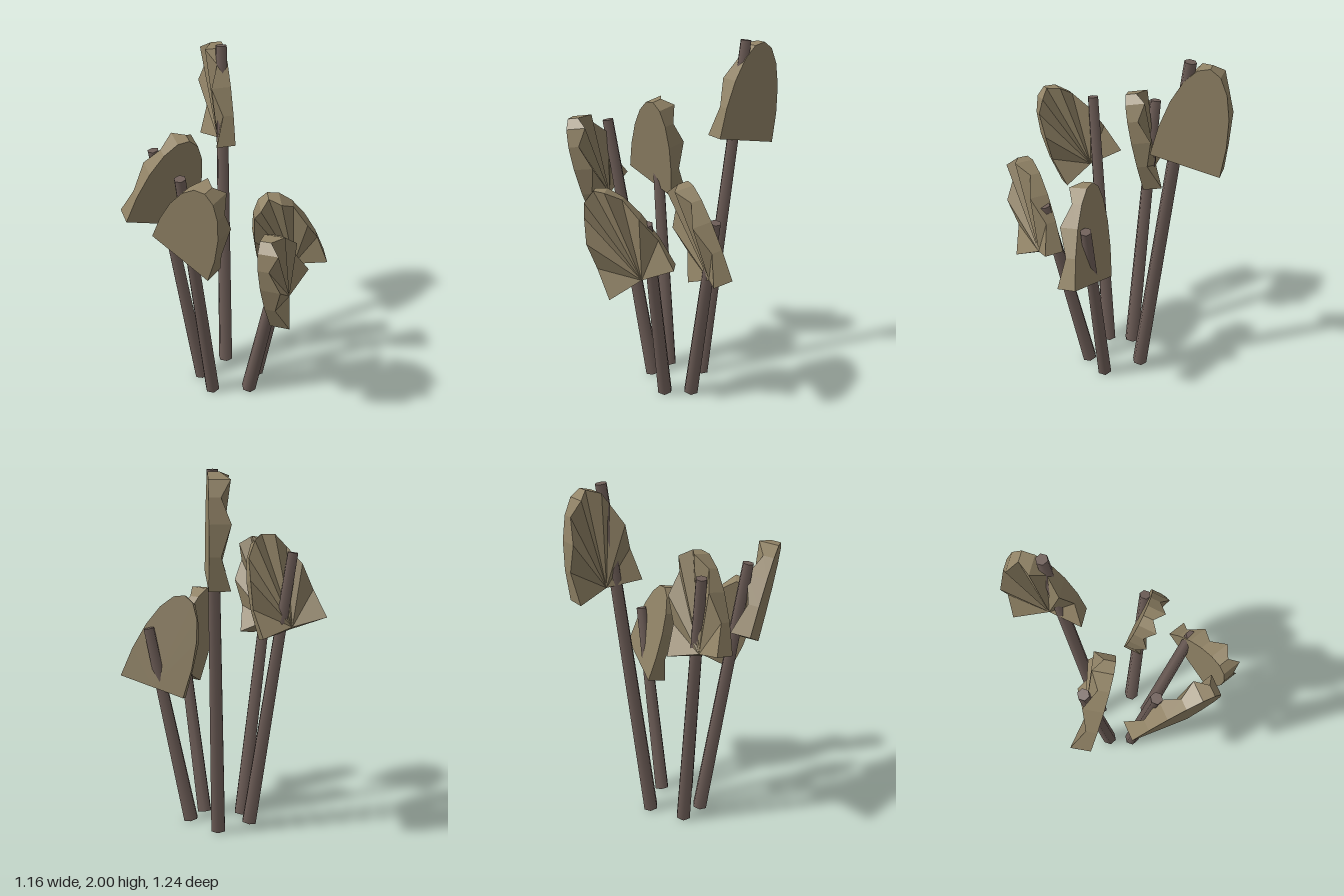
import * as THREE from 'three';

const SEGMENTS = 10;
const deg = THREE.MathUtils.degToRad;

// Fan-shaped cap: flat half-ellipse facing +z, pleats radiating from a hub on the back
function capGeometry() {
  const front = [], back = [];
  for (let i = 0; i <= SEGMENTS; i++) {
    const t = (Math.PI * i) / SEGMENTS;
    const x = -0.19 * Math.cos(t), y = 0.55 * Math.sin(t);
    front.push([x, y, 0]);
    back.push([x, y, i % 2 ? -0.06 : -0.11]);
  }
  const centre = [0, 0, 0], hub = [0, 0.01, -0.055];
  const pos = [];
  const tri = (...corners) => corners.forEach((c) => pos.push(...c));
  for (let i = 0; i < SEGMENTS; i++) {
    tri(centre, front[i + 1], front[i]);
    tri(front[i], front[i + 1], back[i + 1]);
    tri(front[i], back[i + 1], back[i]);
    tri(hub, back[i], back[i + 1]);
  }
  // underside
  tri(centre, front[0], back[0]);
  tri(centre, back[0], hub);
  tri(centre, hub, back[SEGMENTS]);
  tri(centre, back[SEGMENTS], front[SEGMENTS]);
  const geo = new THREE.BufferGeometry();
  geo.setAttribute('position', new THREE.Float32BufferAttribute(pos, 3));
  geo.computeVertexNormals();
  return geo;
}

// Tapered stem between two points
function stem(bottom, top, material) {
  const a = new THREE.Vector3(...bottom), b = new THREE.Vector3(...top);
  const dir = b.clone().sub(a);
  const mesh = new THREE.Mesh(new THREE.CylinderGeometry(0.032, 0.044, dir.length(), 6), material);
  mesh.position.copy(a).add(b).multiplyScalar(0.5);
  mesh.quaternion.setFromUnitVectors(new THREE.Vector3(0, 1, 0), dir.normalize());
  mesh.name = 'stem';
  return mesh;
}

export function createModel() {
  const group = new THREE.Group();
  group.name = 'mushroomCluster';
  const stemMat = new THREE.MeshStandardMaterial({ color: 0x6e5e58 });
  stemMat.name = 'stem brown';
  const capMat = new THREE.MeshStandardMaterial({ color: 0x918366, flatShading: true });
  capMat.name = 'cap olive';
  const capGeo = capGeometry();

  // stem ends, cap base centre, cap angles: lean, yaw, roll
  const mushrooms = [
    { name: 'backMushroom', from: [0.012, 0.01, -0.18], to: [0.035, 2.0, -0.425], at: [0.065, 1.445, -0.428], turn: [0, 95, -11] },
    { name: 'rightMushroom', from: [-0.165, 0.01, -0.055], to: [-0.395, 1.57, -0.09], at: [-0.39, 1.14, -0.05], turn: [11, 11, -17] },
    { name: 'frontRightMushroom', from: [-0.12, 0.01, 0.085], to: [-0.3, 1.57, 0.255], at: [-0.32, 1.13, 0.3], turn: [9, -47, -25] },
    { name: 'leftMushroom', from: [0.175, 0.01, -0.015], to: [0.405, 1.14, -0.02], at: [0.39, 0.81, -0.055], turn: [-11, 175.5, -19] },
    { name: 'frontLeftMushroom', from: [0.1, 0.01, 0.12], to: [0.25, 1.14, 0.3], at: [0.225, 0.825, 0.31], turn: [4, -123.5, -27] },
  ];
  for (const m of mushrooms) {
    const part = new THREE.Group();
    part.name = m.name;
    const cap = new THREE.Mesh(capGeo, capMat);
    cap.name = 'cap';
    cap.position.set(...m.at);
    cap.rotation.set(...m.turn.map(deg), 'YXZ');
    part.add(stem(m.from, m.to, stemMat), cap);
    group.add(part);
  }
  return group;
}
